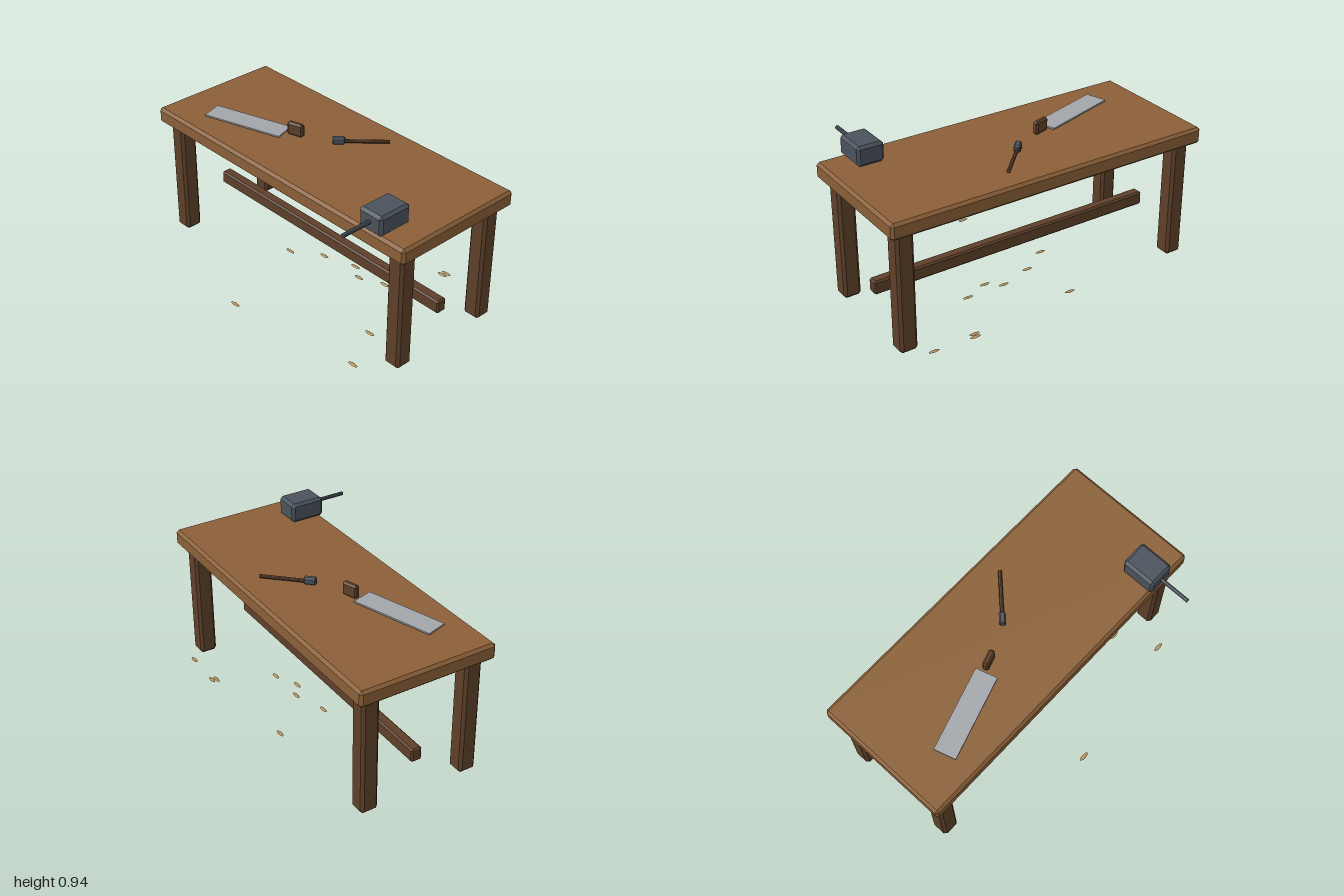
import * as THREE from 'three';
import { ConvexGeometry } from 'three/addons/geometries/ConvexGeometry.js';

function flat(name, color) {
  const m = new THREE.MeshStandardMaterial({ color, flatShading: true });
  m.name = name;
  return m;
}

// Box with every edge cut by a flat chamfer of size c
function chamferBox(w, h, d, c) {
  const points = [];
  for (const x of [-w / 2, w / 2]) for (const y of [-h / 2, h / 2]) for (const z of [-d / 2, d / 2]) {
    const ix = x - Math.sign(x) * c, iy = y - Math.sign(y) * c, iz = z - Math.sign(z) * c;
    points.push(new THREE.Vector3(x, iy, iz), new THREE.Vector3(ix, y, iz), new THREE.Vector3(ix, iy, z));
  }
  return new ConvexGeometry(points);
}

export function createModel() {
  const model = new THREE.Group();
  model.name = 'workbench';
  const wood = flat('wood', 0x8b6038);
  const darkWood = flat('darkWood', 0x5e4029);
  const iron = flat('iron', 0x4b535d);
  const steel = flat('steel', 0xa2a6aa);
  const shavingWood = flat('shavingWood', 0xb8935c);

  function add(parent, name, geometry, material, x, y, z) {
    const mesh = new THREE.Mesh(geometry, material);
    mesh.name = name;
    mesh.position.set(x, y, z);
    parent.add(mesh);
    return mesh;
  }
  function group(name, x, z, turn) {
    const g = new THREE.Group();
    g.name = name;
    g.position.set(x, 0.817, z);
    g.rotation.y = turn;
    model.add(g);
    return g;
  }

  // Bench
  add(model, 'tableTop', chamferBox(2, 0.098, 0.83, 0.016), wood, 0, 0.768, -0.096);
  const legShape = chamferBox(0.105, 0.722, 0.105, 0.016);
  for (const x of [-0.9, 0.9]) for (const z of [0.22, -0.412]) {
    const name = (z > 0 ? 'front' : 'back') + (x > 0 ? 'Left' : 'Right') + 'Leg';
    add(model, name, legShape, darkWood, x, 0.361, z);
  }
  add(model, 'stretcher', chamferBox(1.83, 0.083, 0.066, 0.01), darkWood, 0, 0.217, -0.096);

  // Vise with a bar sticking out of the front
  const vise = group('vise', 0.766, 0.22, 0);
  add(vise, 'viseBody', chamferBox(0.162, 0.12, 0.212, 0.016), iron, 0, 0.06, 0);
  add(vise, 'viseBar', new THREE.CylinderGeometry(0.012, 0.012, 0.2, 8).rotateX(Math.PI / 2), iron, 0, 0.065, 0.192);

  // Handsaw
  const saw = group('saw', -0.503, 0.054, 0.3);
  add(saw, 'sawBlade', new THREE.BoxGeometry(0.5, 0.009, 0.13), steel, 0, 0.0105, 0);
  add(saw, 'sawHandle', chamferBox(0.1, 0.08, 0.036, 0.01), darkWood, 0.314, 0.041, -0.017);

  // Hammer
  const hammer = group('hammer', 0.022, -0.17, 0.8);
  add(hammer, 'hammerHead', chamferBox(0.072, 0.042, 0.038, 0.008), iron, 0, 0.021, 0);
  add(hammer, 'hammerHandle', new THREE.CylinderGeometry(0.011, 0.011, 0.28, 8).rotateZ(Math.PI / 2), darkWood, 0.146, 0.0155, 0);

  // Wood shavings scattered on the floor
  const shavingShape = new THREE.SphereGeometry(1, 10, 4).scale(0.033, 0.0045, 0.012);
  const spots = [
    [-0.06, 0.546], [0.765, 0.42], [0.64, 0.17], [-0.24, -0.03], [-0.065, -0.146], [0.23, -0.146],
    [0.14, -0.207], [0.38, -0.207], [-0.13, -0.473], [0.54, -0.525], [0.8, -0.54], [0.55, -0.55],
  ];
  spots.forEach(([x, z], i) => add(model, 'shaving' + (i + 1), shavingShape, shavingWood, x, 0.0125, z));

  return model;
}
